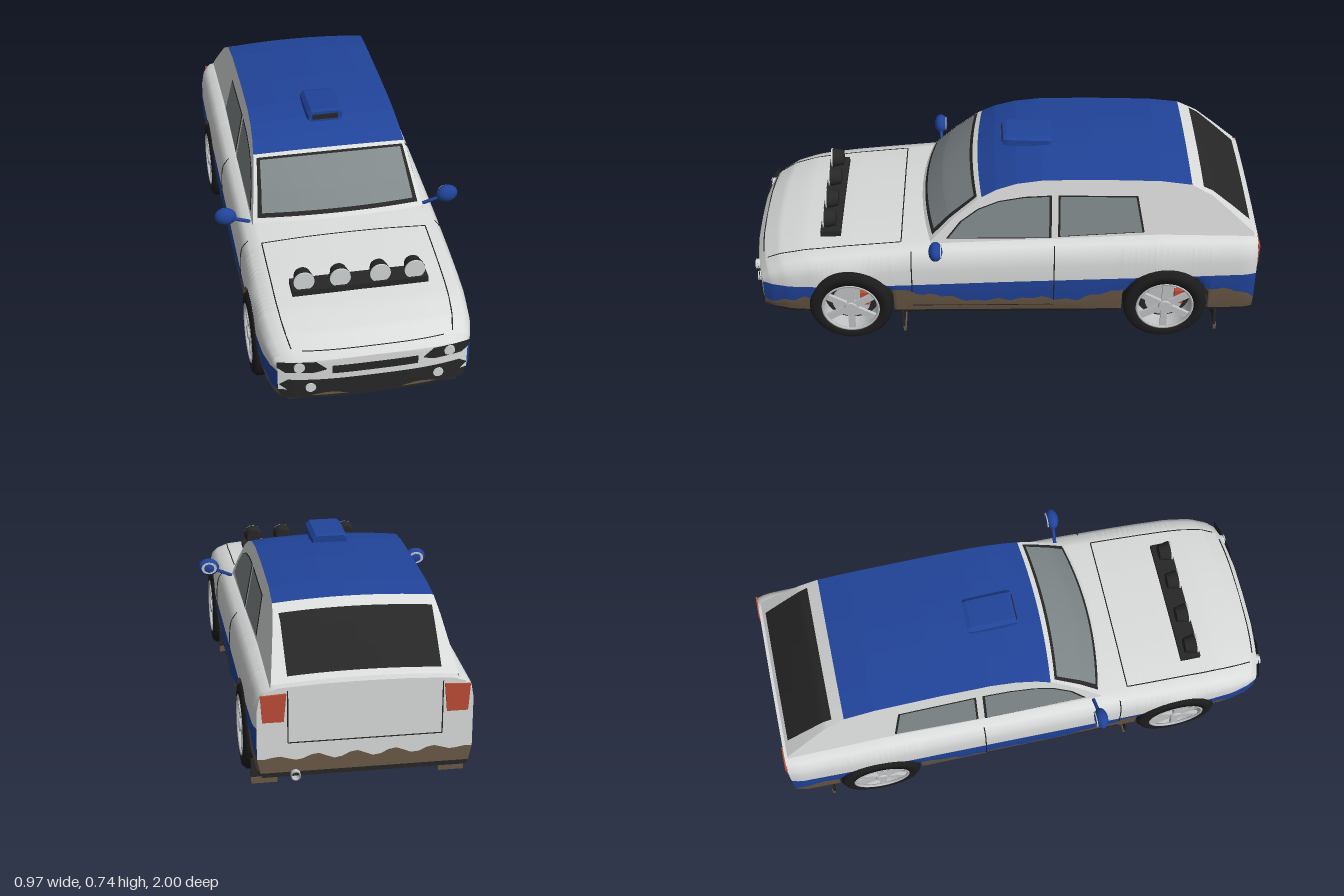
import * as THREE from 'three';

const V = (x, y, z) => new THREE.Vector3(x, y, z);
const mat = (name, color) => {
  const m = new THREE.MeshStandardMaterial({ color, side: THREE.DoubleSide });
  m.name = name;
  return m;
};

// Piecewise-linear lookup in a table sorted by its first column
function lut(table, v) {
  if (v <= table[0][0]) return table[0][1];
  for (let i = 1; i < table.length; i++) {
    const [a, p] = table[i - 1], [b, q] = table[i];
    if (v <= b) return p + (q - p) * (v - a) / (b - a);
  }
  return table[table.length - 1][1];
}

// Body dimensions along z
const WIDTH = [[-0.985, 0.385], [-0.95, 0.395], [-0.6, 0.4], [0.5, 0.4], [0.75, 0.397], [0.88, 0.388], [0.95, 0.37], [0.985, 0.35]];
const DECK = [[-0.985, 0.468], [-0.6, 0.475], [0.2, 0.447], [0.3, 0.442], [0.6, 0.415], [0.8, 0.392], [0.9, 0.367], [0.96, 0.335], [0.985, 0.308]];
const MUD = [[-0.985, 0.2], [-0.9, 0.235], [-0.8, 0.25], [-0.47, 0.25], [-0.38, 0.225], [-0.3, 0.195], [-0.1, 0.205], [0.1, 0.19], [0.3, 0.225], [0.42, 0.25], [0.78, 0.205], [0.9, 0.19], [0.985, 0.165]];
const BLUE = [[-0.985, 0.312], [-0.5, 0.3], [0, 0.285], [0.4, 0.27], [0.985, 0.255]];
const ROOF = [[-0.972, 0.468], [-0.88, 0.555], [-0.8, 0.627], [-0.72, 0.672], [-0.6, 0.688], [-0.35, 0.695], [-0.15, 0.693], [-0.05, 0.68], [0.03, 0.655], [0.1, 0.617], [0.2, 0.53], [0.285, 0.44]];
const WHEELS = [0.605, -0.635], AXLE = 0.163, ARCH = 0.176, NOSE = 0.985;

const noseBend = (x, z) => 0.035 * Math.abs(x / 0.35) ** 3 * THREE.MathUtils.smoothstep(z, 0.6, NOSE);

function bottom(z) {
  for (const c of WHEELS) {
    const d = Math.abs(z - c);
    if (d < 0.17) return AXLE + Math.sqrt(ARCH * ARCH - d * d);
  }
  return lut([[0.9, 0.12], [NOSE, 0.135]], z);
}

// Half cross-section, from the sill up to the centre line
function section(z) {
  const w = lut(WIDTH, z), top = lut(DECK, z), blue = lut(BLUE, z), sh = top - 0.014, b = bottom(z);
  const mud = lut(MUD, z) + 0.006 * Math.sin(z * 71) + 0.004 * Math.sin(z * 33);
  const mix = t => blue + (sh - 0.008 - blue) * t;
  return [[w - 0.02, 0], [w - 0.012, 0.137], [w, mud], [w, blue], [w - 0.001, mix(0.45)], [w - 0.009, mix(0.78)],
    [w - 0.032, mix(1)], [0.8 * w, top - 0.008], [0.4 * w, top], [0, top + 0.002]]
    .map(([x, y]) => [x, Math.max(y, b)]);
}

// Cabin side plane and cabin top surface (s runs across, -1 to 1)
const sideX = y => 0.335 - (y - 0.45) * 0.19;
function cabinTop(s, z, off = 0) {
  const y = lut(ROOF, z), k = 1 - s * s;
  const slope = Math.atan2(lut(ROOF, z - 0.02) - lut(ROOF, z + 0.02), 0.04);
  return V(s * sideX(y), y + 0.014 * k + off * Math.cos(slope), z + 0.04 * k * THREE.MathUtils.smoothstep(z, -0.05, 0.25) + off * Math.sin(slope));
}

// Smooth sheet through rows of points; one geometry group for each band of columns
function sheet(rows) {
  const n = rows[0].length, index = [], g = new THREE.BufferGeometry().setFromPoints(rows.flat());
  for (let j = 0; j < n - 1; j++) {
    g.addGroup(index.length, (rows.length - 1) * 6, j);
    for (let i = 0; i < rows.length - 1; i++) {
      const a = i * n + j, c = a + n;
      index.push(a, a + 1, c, a + 1, c + 1, c);
    }
  }
  g.setIndex(index);
  g.computeVertexNormals();
  return g;
}
const range = (a, b, n) => Array.from({ length: n + 1 }, (_, i) => a + (b - a) * i / n);

export function createModel() {
  const root = new THREE.Group();
  const white = mat('whitePaint', 0xdadbdb), blue = mat('bluePaint', 0x21449a), mud = mat('mud', 0x6b5a47);
  const black = mat('blackTrim', 0x272727), rubber = mat('tyreRubber', 0x1d1d1e), glass = mat('glass', 0x80888a);
  const silver = mat('silver', 0xc2c4c6), red = mat('red', 0xbd4c36), lamp = mat('lampGlass', 0xd2d6d6);
  const add = (name, geo, m, x = 0, y = 0, z = 0, parent = root) => {
    const mesh = new THREE.Mesh(geo, m);
    mesh.name = name;
    mesh.position.set(x, y, z);
    parent.add(mesh);
    return mesh;
  };
  const box = (w, h, d) => new THREE.BoxGeometry(w, h, d);
  const discZ = (r, d, n = 20) => new THREE.CylinderGeometry(r, r, d, n).rotateX(Math.PI / 2);

  // Lower body shell, with extra stations around the wheel arches
  const stations = range(-0.985, NOSE, 80).concat([0.96, 0.95, 0.9]);
  for (const c of WHEELS) for (const a of range(0, Math.PI, 24)) stations.push(c + 0.1699 * Math.cos(a));
  for (const c of WHEELS) stations.push(c - 0.1702, c + 0.1702);
  stations.sort((a, b) => a - b);
  const ring = z => {
    const half = section(z);
    return [...half, ...half.slice(0, -1).reverse().map(([x, y]) => [-x, y])].map(([x, y]) => V(x, y, z - noseBend(x, z)));
  };
  const bands = Array.from({ length: 18 }, (_, k) => [black, mud, blue][Math.min(k, 17 - k)] || white);
  add('bodyShell', sheet(stations.map(ring)), bands);

  // Nose and tail panels
  const cap = z => sheet(range(1, -1, 28).map(t => section(z).map(([x, y], i) =>
    V(x * t, y + (i === 2 && z < 0 ? 0.012 * Math.sin(x * t * 45) * (1 - t ** 4) : 0), z - noseBend(x * t, z)))));
  const capColours = second => [black, second, ...Array(7).fill(white)];
  add('nosePanel', cap(NOSE), capColours(black));
  add('tailPanel', cap(-0.985), capColours(mud));

  // Floor with wheel notches, and chassis core between the wheels
  const edge = [[0.31, 0.955], [0.36, 0.88], [0.378, 0.776], [0.29, 0.775], [0.29, 0.435], [0.38, 0.435], [0.38, -0.465], [0.29, -0.465], [0.29, -0.805], [0.38, -0.805], [0.365, -0.984]];
  const outline = [...edge, ...edge.map(([x, z]) => [-x, z]).reverse()].map(p => new THREE.Vector2(...p));
  add('floor', new THREE.ShapeGeometry(new THREE.Shape(outline)).rotateX(Math.PI / 2), black, 0, 0.121, 0);
  add('chassis', box(0.58, 0.21, 1.7), black, 0, 0.23, -0.05);

  // Cabin sides, roof and glass that follows the top surface
  const cabZ = [...new Set([...range(-0.972, 0.285, 48), ...ROOF.map(r => r[0])])].sort((a, b) => a - b);
  for (const s of [1, -1]) add('cabinSide', sheet(cabZ.map(z => {
    const y = lut(ROOF, z);
    return [V(s * sideX(0.42), 0.42, z), V(s * sideX(y), y, z)];
  })), white);
  const patch = (name, z0, z1, w0, w1, off, m) => {
    const zs = [z0, ...cabZ.filter(z => z > z0 && z < z1), z1];
    add(name, sheet(zs.map(z => range(-1, 1, 20).map(s => cabinTop(s * (w0 + (w1 - w0) * (z - z0) / (z1 - z0)), z, off)))), m);
  };
  patch('rearPillars', -0.972, -0.72, 1, 1, 0, white);
  patch('roofPanel', -0.72, 0.085, 1, 1, 0, blue);
  patch('windscreenFrame', 0.085, 0.285, 1, 1, 0, white);
  patch('windscreenSeal', 0.1, 0.272, 0.96, 0.95, 0.003, black);
  patch('windscreen', 0.108, 0.26, 0.92, 0.9, 0.006, glass);
  patch('rearWindow', -0.955, -0.765, 0.83, 0.93, 0.004, black);

  // Side windows with dark seals
  const front = [[0.225, 0.452], [0.17, 0.525], [0.1, 0.578], [0.02, 0.61], [-0.08, 0.627], [-0.185, 0.632], [-0.185, 0.452]];
  const rear = [[-0.21, 0.457], [-0.21, 0.632], [-0.515, 0.627], [-0.545, 0.475]];
  for (const s of [1, -1]) for (const pts of [front, rear]) {
    const cz = pts.reduce((a, p) => a + p[0], 0) / pts.length;
    for (const [k, off, m, name] of [[1, 0.002, black, 'windowSeal'], [0.95, 0.004, glass, 'sideWindow']]) {
      const g = new THREE.ShapeGeometry(new THREE.Shape(pts.map(([z, y]) => new THREE.Vector2(cz + (z - cz) * k, 0.545 + (y - 0.545) * k))));
      const p = g.attributes.position;
      for (let i = 0; i < p.count; i++) p.setXYZ(i, s * (sideX(p.getY(i)) + off), p.getY(i), p.getX(i));
      g.computeVertexNormals();
      add(name, g, m);
    }
  }

  // Thin panel seams
  const seam = (name, pts) => add(name, new THREE.TubeGeometry(new THREE.CatmullRomCurve3(pts), 24, 0.0022, 4), black);
  for (const s of [1, -1]) {
    seam('bonnetSeam', range(0.4, 0.95, 10).map(z => { const [x, y] = section(z)[7]; return V(s * x, y, z - noseBend(x, z)); }));
    for (const z of [0.36, -0.195]) seam('doorSeam', section(z).slice(2, 7).map(([x, y]) => V(s * x, y, z)));
    seam('sillSeam', [V(s * 0.394, 0.165, 0.36), V(s * 0.394, 0.165, -0.195)]);
    seam('tailgateSeam', [V(s * 0.275, 0.25, -0.985), V(s * 0.275, 0.45, -0.985)]);
  }
  seam('bonnetRearSeam', section(0.4).slice(7).map(([x, y]) => V(x, y, 0.4)).concat(section(0.4).slice(7, 9).reverse().map(([x, y]) => V(-x, y, 0.4))));
  seam('bonnetFrontSeam', range(-0.26, 0.26, 10).map(x => V(x, 0.334, 0.962 - noseBend(x, 0.962))));
  seam('tailgateLowerSeam', [V(-0.275, 0.25, -0.985), V(0.275, 0.25, -0.985)]);

  // Front trim wrapped onto the curved nose
  const noseStrip = (name, x0, x1, top, low, m, off = 0.008) => add(name, sheet(range(x0, x1, 24).map(x =>
    [lut(top, Math.abs(x)), lut(low, Math.abs(x))].map(y => V(x, y, NOSE - noseBend(x, NOSE) + off)))), m);
  noseStrip('grille', -0.157, 0.157, [[0, 0.285]], [[0, 0.25]], black);
  noseStrip('bumper', -0.345, 0.345, [[0, 0.226], [0.335, 0.226], [0.345, 0.205]], [[0, 0.162], [0.3, 0.165], [0.345, 0.2]], black);
  for (const s of [1, -1]) {
    noseStrip('headlampPanel', s * 0.178, s * 0.354, [[0.178, 0.275], [0.215, 0.307], [0.354, 0.304]], [[0.178, 0.27], [0.22, 0.258], [0.325, 0.258], [0.354, 0.28]], black);
    noseStrip('mudSplash', s * 0.1, s * 0.23, [[0.1, 0.15], [0.165, 0.162], [0.23, 0.15]], [[0.1, 0.148]], mud, 0.003);
    add('headlamp', discZ(0.02, 0.02), lamp, s * 0.275, 0.283, NOSE - 0.013);
    add('fogLamp', discZ(0.019, 0.02), lamp, s * 0.235, 0.191, NOSE - 0.008);

    // Tail lamps
    const tail = new THREE.Shape([[0.29, 0.335], [0.365, 0.335], [0.372, 0.435], [0.28, 0.44]].map(([x, y]) => new THREE.Vector2(s * x, y)));
    add('tailLamp', new THREE.ExtrudeGeometry(tail, { depth: 0.008, bevelEnabled: false }), red, 0, 0, -0.992);

    // Door mirrors
    const shell = add('mirrorShell', new THREE.SphereGeometry(1, 16, 12), blue, s * 0.44, 0.47, 0.262);
    shell.scale.set(0.043, 0.036, 0.027);
    shell.rotation.z = s * 0.12;
    const face = add('mirrorGlass', discZ(1, 0.2), silver, s * 0.44, 0.47, 0.241);
    face.scale.set(0.032, 0.025, 0.02);
    add('mirrorArm', new THREE.TubeGeometry(new THREE.LineCurve3(V(s * 0.345, 0.43, 0.255), V(s * 0.415, 0.458, 0.262)), 1, 0.007, 6), blue);
  }

  // Bonnet lamp bar
  add('lampBar', box(0.51, 0.024, 0.08), black, 0, 0.414, 0.68);
  for (const x of [-0.21, -0.075, 0.075, 0.205]) {
    add('spotHousing', new THREE.CylinderGeometry(0.04, 0.03, 0.045, 20).rotateX(Math.PI / 2), black, x, 0.457, 0.682);
    add('spotLens', discZ(0.039, 0.008), lamp, x, 0.457, 0.707);
  }

  // Roof scoop, lower towards the back
  const oct = [[-0.07, 0], [-0.07, 0.026], [-0.055, 0.04], [0.055, 0.04], [0.07, 0.026], [0.07, 0], [0.055, -0.01], [-0.055, -0.01]];
  const scoop = new THREE.ExtrudeGeometry(new THREE.Shape(oct.map(p => new THREE.Vector2(...p))), { depth: 0.16, bevelEnabled: true, bevelSize: 0.004, bevelThickness: 0.015, bevelSegments: 1, bevelOffset: -0.004 });
  add('roofScoop', scoop, blue, 0, 0.698, -0.172).rotation.x = -0.04;
  add('scoopOpening', box(0.1, 0.02, 0.006), black, 0, 0.72, 0.004);

  // Wheels, arches and mud flaps
  const tyre = [[0.112, -0.05], [0.15, -0.05], [0.163, -0.035], [0.163, 0.035], [0.15, 0.05], [0.115, 0.052], [0.112, 0.02]].map(p => new THREE.Vector2(...p));
  const axial = g => g.rotateZ(-Math.PI / 2);
  for (const z of WHEELS) for (const s of [1, -1]) {
    const wheel = new THREE.Group();
    wheel.name = 'wheel';
    wheel.position.set(s * 0.358, AXLE, z);
    wheel.rotation.y = s > 0 ? 0 : Math.PI;
    root.add(wheel);
    add('tyre', axial(new THREE.LatheGeometry(tyre, 40)), rubber, 0, 0, 0, wheel);
    add('rimBarrel', axial(new THREE.CylinderGeometry(0.112, 0.108, 0.09, 36, 1, true)), silver, 0, 0, 0, wheel);
    add('rimLip', new THREE.TorusGeometry(0.11, 0.006, 6, 36).rotateY(Math.PI / 2), silver, 0.048, 0, 0, wheel);
    add('wheelBack', axial(new THREE.CylinderGeometry(0.11, 0.11, 0.01, 32)), black, -0.03, 0, 0, wheel);
    add('brakeDisc', axial(new THREE.CylinderGeometry(0.075, 0.075, 0.01, 28)), silver, 0.005, 0, 0, wheel);
    add('brakeCaliper', box(0.024, 0.06, 0.035), red, 0.018, 0.03, -s * 0.055, wheel);
    add('hub', axial(new THREE.CylinderGeometry(0.024, 0.03, 0.024, 16)), silver, 0.042, 0, 0, wheel);
    for (let i = 0; i < 6; i++) {
      const spoke = box(0.014, 0.1, 0.026).translate(0, 0.06, 0);
      add('spoke', spoke, silver, 0.04, 0, 0, wheel).rotation.x = i * Math.PI / 3;
    }
    const liner = new THREE.CylinderGeometry(ARCH - 0.001, ARCH - 0.001, 0.1, 28, 1, true, 0, Math.PI).rotateZ(Math.PI / 2);
    add('archLiner', liner, black, s * 0.34, AXLE, z);
    const fz = z - 0.205;
    add('mudFlap', box(0.095, 0.075, 0.01), black, s * 0.345, 0.088, fz);
    add('mudFlapDirt', box(0.095, 0.024, 0.011), mud, s * 0.345, 0.041, fz - 0.004);
  }

  // Exhaust pipe
  const pipe = [[0.014, 0], [0.018, 0], [0.018, 0.16], [0.014, 0.16]].map(p => new THREE.Vector2(...p));
  add('exhaust', new THREE.LatheGeometry([...pipe, pipe[0]], 16).rotateX(-Math.PI / 2), silver, 0.25, 0.128, -0.845);
  return root;
}
